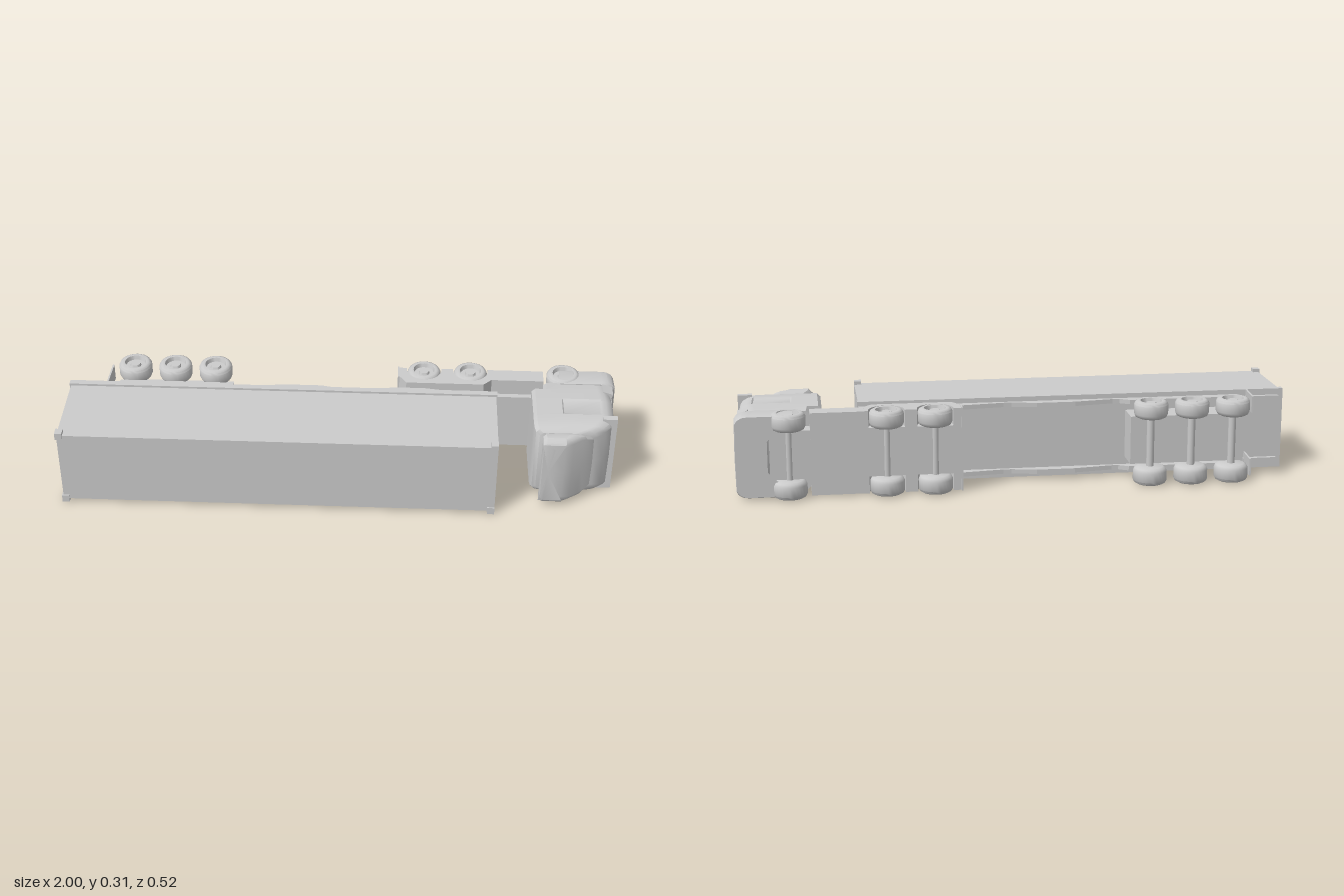
import * as THREE from 'three';
import { toCreasedNormals } from 'three/addons/utils/BufferGeometryUtils.js';

const material = new THREE.MeshStandardMaterial({ color: 0xcccccc });

// Modelled upright (x forward, y up, z sideways), then laid on its side at the end.
export function createModel() {
  const lorry = new THREE.Group();
  lorry.name = 'lorry';

  const add = (name, geometry, x = 0, y = 0, z = 0) => {
    const mesh = new THREE.Mesh(geometry, material);
    mesh.name = name;
    mesh.position.set(x, y, z);
    lorry.add(mesh);
    return mesh;
  };
  // Box from its x and y limits, half width and middle z
  const box = (name, x0, x1, y0, y1, half, z = 0) =>
    add(name, new THREE.BoxGeometry(x1 - x0, y1 - y0, half * 2), (x0 + x1) / 2, (y0 + y1) / 2, z);
  // Side profile extruded across the width
  const slab = (name, shape, half, z = 0) => {
    const g = new THREE.ExtrudeGeometry(shape, { depth: half * 2, bevelEnabled: false, curveSegments: 10 });
    return add(name, g.translate(0, 0, -half), 0, 0, z);
  };
  const polygon = (points) => new THREE.Shape(points.map(([x, y]) => new THREE.Vector2(x, y)));

  // Stack of plan outlines: [height, back, front, half width, window inset]
  const loft = (name, sections) => {
    const rings = sections.map(([y, xb, xf, w, inset = 0]) => {
      const half = [
        [xf - inset, 0], [xf - inset - 0.002, w * 0.79], [xf - 0.002, w * 0.83],
        [xf - 0.011, w - 0.011], [xf - 0.028, w - 0.002], [xf - 0.045, w],
        [xf - 0.05, w - inset * 0.4], [0.8, w - inset * 0.4], [0.795, w],
        [xb + 0.012, w], [xb, w - 0.012],
      ];
      const other = half.slice(1).reverse().map(([x, z]) => [x, -z]);
      return [...half, ...other].map(([x, z]) => [x, y, z]);
    });
    const n = rings[0].length;
    const p = [];
    for (let i = 0; i < rings.length - 1; i++) {
      for (let j = 0; j < n; j++) {
        const k = (j + 1) % n;
        const [a, b, c, d] = [rings[i][j], rings[i][k], rings[i + 1][j], rings[i + 1][k]];
        p.push(...a, ...c, ...b, ...b, ...c, ...d);
      }
    }
    const [first, last] = [sections[0], sections.at(-1)];
    for (let j = 0; j < n; j++) {
      const k = (j + 1) % n;
      p.push((first[1] + first[2]) / 2, first[0], 0, ...rings[0][j], ...rings[0][k]);
      p.push((last[1] + last[2]) / 2, last[0], 0, ...rings.at(-1)[k], ...rings.at(-1)[j]);
    }
    const g = new THREE.BufferGeometry();
    g.setAttribute('position', new THREE.Float32BufferAttribute(p, 3));
    return add(name, toCreasedNormals(g, 0.55));
  };

  // Container with roof corner fittings, on the trailer deck
  box('container', -0.995, 0.56, -0.05, 0.254, 0.142);
  box('trailerDeck', -1, 0.564, -0.073, -0.05, 0.15);
  for (const side of [-1, 1]) {
    for (const x of [-0.987, 0.547]) box('cornerFitting', x - 0.013, x + 0.013, 0.229, 0.259, 0.014, side * 0.14);
  }

  // Trailer frame: wavy side rails, axle box, mudflaps and tail rails
  const rail = polygon([
    [-0.83, -0.07], [-0.82, -0.107], [-0.42, -0.107], [-0.385, -0.086], [-0.36, -0.085],
    [-0.22, -0.105], [-0.08, -0.105], [0.01, -0.086], [0.04, -0.086], [0.2, -0.105],
    [0.3, -0.105], [0.43, -0.086], [0.56, -0.084], [0.56, -0.07],
  ]);
  box('trailerAxleBox', -0.82, -0.41, -0.176, -0.07, 0.088);
  for (const side of [-1, 1]) {
    slab('trailerRail', rail, 0.008, side * 0.125);
    box('mudflap', -0.863, -0.857, -0.178, -0.072, 0.031, side * 0.118).rotation.z = 0.05;
    box('tailRail', -0.98, -0.857, -0.088, -0.07, 0.009, side * 0.118);
  }

  // Tractor frame with full-width tanks and rear mudguard
  box('tractorFrame', 0.205, 0.92, -0.207, -0.125, 0.088);
  box('sideTanks', 0.54, 0.735, -0.208, -0.145, 0.149);
  const guard = polygon([[0.205, -0.207], [0.205, -0.155], [0.232, -0.114], [0.515, -0.114], [0.545, -0.145], [0.545, -0.207]]);
  for (const x of [0.468, 0.297]) {
    guard.lineTo(x + 0.064, -0.207);
    guard.absarc(x, -0.2, 0.064, 0, Math.PI, false);
    guard.lineTo(x - 0.064, -0.207);
  }
  slab('rearMudguard', guard, 0.15);
  box('rearFlap', 0.2, 0.206, -0.21, -0.148, 0.152);
  box('fifthWheel', 0.39, 0.53, -0.115, -0.072, 0.08);

  // Cab with sunken windows and a rounded roof
  loft('cab', [
    [-0.146, 0.735, 0.972, 0.143], [-0.1, 0.73, 0.977, 0.148], [-0.1, 0.69, 0.977, 0.148],
    [-0.042, 0.69, 0.982, 0.149], [-0.034, 0.69, 0.982, 0.149, 0.012],
    [0.042, 0.69, 0.98, 0.149, 0.012], [0.05, 0.69, 0.98, 0.149],
    [0.09, 0.69, 0.968, 0.148], [0.113, 0.692, 0.945, 0.143],
    [0.129, 0.697, 0.915, 0.136], [0.138, 0.71, 0.88, 0.126],
  ]);
  loft('roofDeflector', [
    [0.135, 0.76, 0.905, 0.122], [0.155, 0.73, 0.88, 0.14], [0.165, 0.72, 0.862, 0.144],
    [0.188, 0.72, 0.83, 0.143], [0.202, 0.72, 0.8, 0.132], [0.207, 0.722, 0.765, 0.124],
  ]);
  box('sunVisor', 0.935, 0.987, 0.064, 0.087, 0.155);

  // Bumper, front wheel arches, headlights and grille
  loft('bumper', [
    [-0.222, 0.885, 0.996, 0.145], [-0.215, 0.878, 0.998, 0.148],
    [-0.15, 0.876, 1, 0.149], [-0.137, 0.876, 0.99, 0.147],
  ]);
  box('grille', 0.97, 0.984, -0.134, -0.06, 0.105);
  for (const side of [-1, 1]) {
    box('headlight', 0.945, 0.983, -0.138, -0.088, 0.012, side * 0.132).rotation.y = side * 0.3;
  }

  // Wheels: rounded tyre, sunken rim and hub
  const wheel = new THREE.LatheGeometry([
    [0, 0], [0.046, 0], [0.056, 0.005], [0.061, 0.016], [0.061, 0.05], [0.057, 0.058],
    [0.048, 0.063], [0.039, 0.062], [0.035, 0.047], [0.02, 0.047], [0.017, 0.056], [0, 0.056],
  ].map(([r, y]) => new THREE.Vector2(r, y)), 28);
  const tyre = toCreasedNormals(wheel, 0.7);
  for (const x of [-0.778, -0.628, -0.478, 0.297, 0.468, 0.81]) {
    for (const side of [-1, 1]) add('wheel', tyre, x, -0.198, side * 0.09).rotation.x = side * Math.PI / 2;
    const axle = new THREE.CylinderGeometry(0.014, 0.014, 0.18, 12).rotateX(Math.PI / 2);
    add('axle', axle, x, -0.198);
  }

  // Lay the lorry on its side, with its roof toward +z
  lorry.rotation.x = Math.PI / 2;
  lorry.position.y = 0.156;
  const model = new THREE.Group();
  model.add(lorry);
  return model;
}
